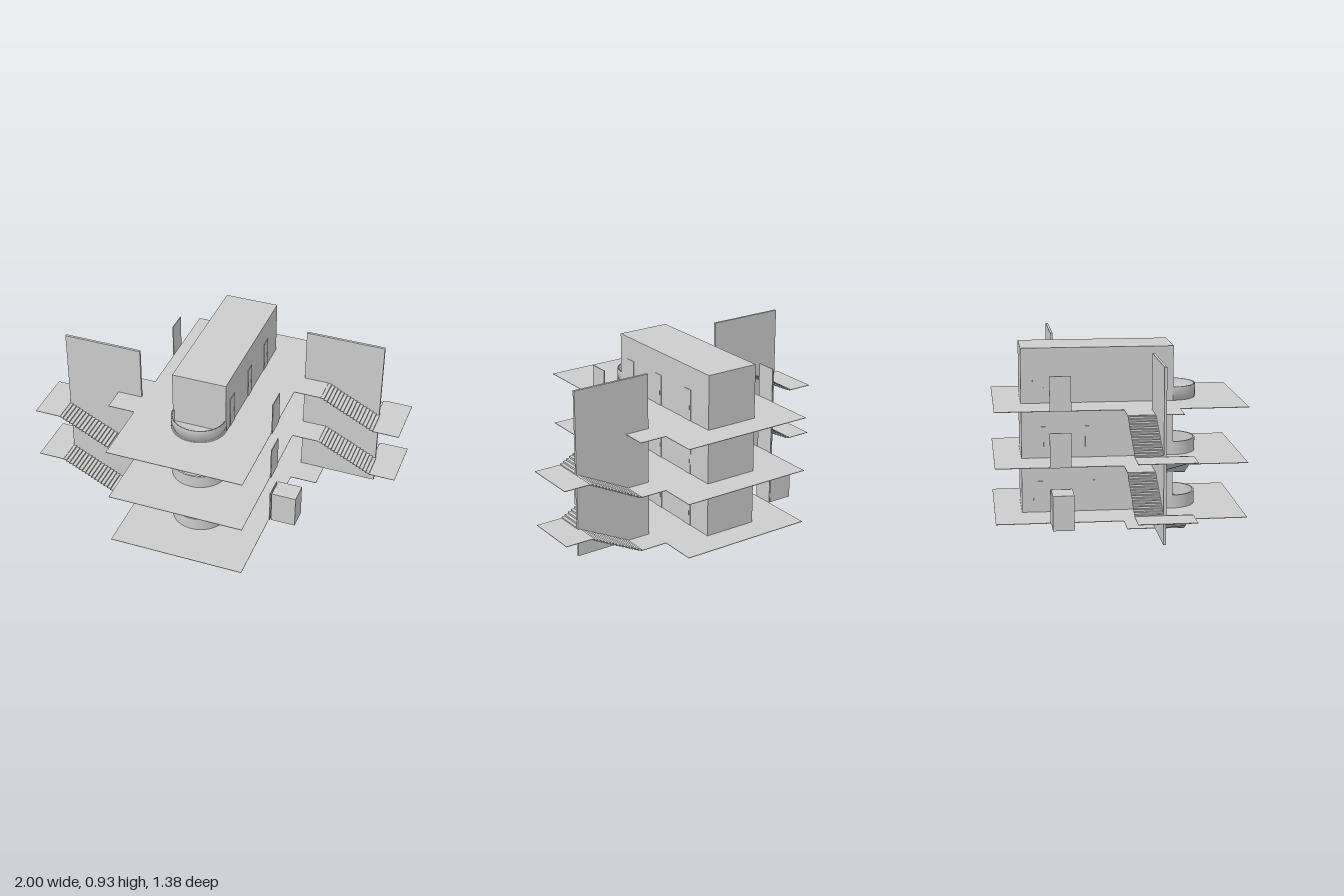
import * as THREE from 'three';
import { toCreasedNormals } from 'three/addons/utils/BufferGeometryUtils.js';

const FLOOR = 0.31;   // storey height
const THIN = 0.003;   // plate thickness
const STEPS = 16;

export function createModel() {
  const grey = new THREE.MeshStandardMaterial({ color: 0xcccccc });
  grey.name = 'plain grey';
  const model = new THREE.Group();
  model.name = 'towerModel';

  const add = (parent, name, geometry) => {
    const mesh = new THREE.Mesh(geometry, grey);
    mesh.name = name;
    parent.add(mesh);
    return mesh;
  };
  // Box given by its limits on each axis
  const box = (parent, name, x0, x1, y0, y1, z0, z1) => {
    const mesh = add(parent, name, new THREE.BoxGeometry(x1 - x0, y1 - y0, z1 - z0));
    mesh.position.set((x0 + x1) / 2, (y0 + y1) / 2, (z0 + z1) / 2);
    return mesh;
  };
  const plate = (parent, name, x0, x1, y, z0, z1) =>
    box(parent, name, x0, x1, y, y + THIN, z0, z1);

  // Folded ribbon of treads and risers, climbing along x
  const flight = (parent, name, xLow, xHigh, y, z0, z1) => {
    const run = 0.31 / STEPS, rise = FLOOR / 2 / STEPS, t = 0.003;
    const upper = [[0, 0]], lower = [[t, -t]];
    for (let i = 0; i < STEPS; i++) {
      upper.push([i * run, (i + 1) * rise], [(i + 1) * run, (i + 1) * rise]);
      lower.push([i * run + t, (i + 1) * rise - t], [(i + 1) * run + t, (i + 1) * rise - t]);
    }
    lower[0][1] = 0;
    lower[lower.length - 1][0] -= t;
    const dir = Math.sign(xHigh - xLow);
    const points = [...upper, ...lower.reverse()]
      .map(([px, py]) => new THREE.Vector2(xLow + dir * px, y + py));
    const geometry = new THREE.ExtrudeGeometry(new THREE.Shape(points),
      { depth: z1 - z0, bevelEnabled: false });
    add(parent, name, geometry.translate(0, 0, z0));
  };

  // Central block
  box(model, 'core', -0.153, 0.153, 0, 0.93, -0.54, 0.308);

  // Floors, each with a half-round desk at the front
  for (let i = 0; i < 3; i++) {
    const y = i * FLOOR;
    plate(model, 'floor', -0.385, 0.385, y, -0.693, 0.69);
    const r = 0.155, h = 0.078, t = 0.01;
    const profile = [[0, 0.001], [r, 0.001], [r, h], [r - t, h], [r - t, 0.006], [0, 0.006]]
      .map(([px, py]) => new THREE.Vector2(px, py));
    const lathe = new THREE.LatheGeometry(profile, 32, -Math.PI / 2, Math.PI);
    const desk = add(model, 'desk', i === 2 ? lathe : toCreasedNormals(lathe, 0.6));
    desk.scale.z = 0.95;
    desk.position.set(0, y, 0.305);
  }

  // Each side: stairs, lift car and lift doors; the second is turned half round
  for (const turned of [false, true]) {
    const side = new THREE.Group();
    side.name = turned ? 'rightStairSide' : 'leftStairSide';
    box(side, 'stairWall', 0.4, 0.847, 0, 0.93, -0.339, -0.325);
    for (let i = 0; i < 3; i++) {
      const y = i * FLOOR;
      plate(side, 'floorLanding', 0.385, 0.54, y, -0.48, -0.175);
      box(side, 'liftDoor', 0.386, 0.391, y, y + 0.193, 0.11, 0.227);
      if (i === 2) continue;
      plate(side, 'halfLanding', 0.848, 1, y + FLOOR / 2, -0.48, -0.175);
      flight(side, 'lowerFlight', 0.54, 0.85, y, -0.48, -0.339);
      flight(side, 'upperFlight', 0.85, 0.54, y + FLOOR / 2, -0.325, -0.175);
    }
    box(side, 'liftCar', 0.397, 0.537, 0.001, 0.193, 0.107, 0.223);
    if (turned) {
      side.rotation.y = Math.PI;
      side.position.z = -0.17;
    }
    model.add(side);

    // Thin doors on the core wall
    const doors = new THREE.Group();
    doors.name = turned ? 'rightCoreDoors' : 'leftCoreDoors';
    for (let i = 0; i < 3; i++) {
      for (const [z0, z1] of [[0.175, 0.245], [-0.1, -0.045], [-0.38, -0.32]]) {
        const y = i * FLOOR;
        box(doors, 'coreDoor', 0.153, 0.156, y + THIN, y + 0.18, z0, z1);
        box(doors, 'doorHandle', 0.156, 0.16, y + 0.065, y + 0.09, z0 + 0.008, z0 + 0.011);
      }
    }
    if (turned) {
      doors.rotation.y = Math.PI;
      doors.position.z = -0.23;
    }
    model.add(doors);
  }
  return model;
}
